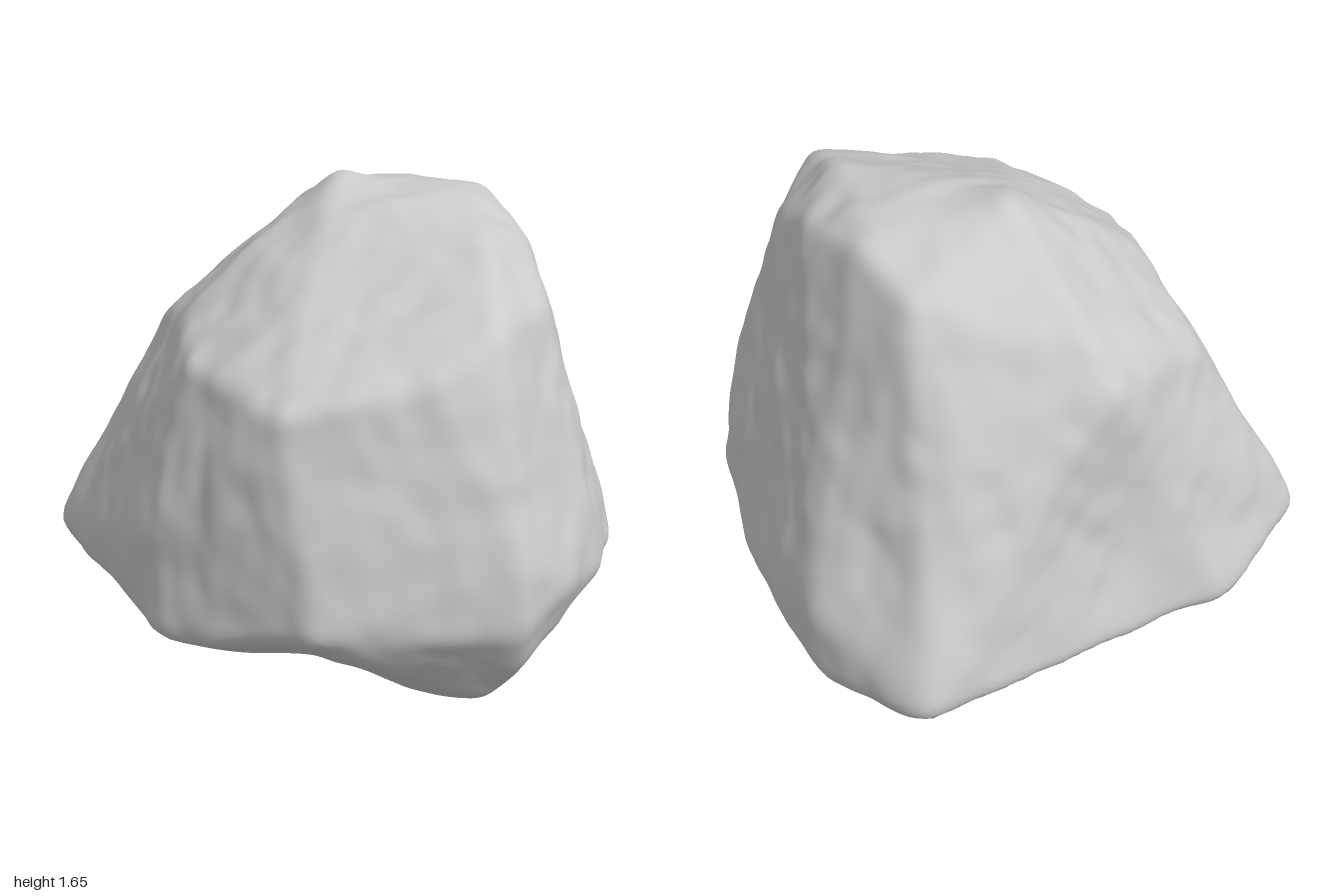
import * as THREE from 'three';
import { mergeVertices } from 'three/addons/utils/BufferGeometryUtils.js';
import { ConvexGeometry } from 'three/addons/geometries/ConvexGeometry.js';

// Main corners of the boulder
const CORNERS = [
  // crown
  [-0.04, 1.67, -0.25], [0.33, 1.6, 0.05], [0.48, 1.58, -0.1], [0.49, 1.51, -0.38],
  [0.46, 1.5, 0.2], [0.2, 1.56, 0.38], [0.36, 1.35, 0.53], [0.05, 1.37, 0.74], [-0.2, 1.25, 0.76],
  // left and front shoulders
  [-0.66, 1.14, 0.55], [-0.73, 1.15, 0.0], [-0.6, 1.23, -0.3], [-0.52, 1.06, -0.71],
  // back shoulders
  [0.02, 1.38, -0.73], [0.05, 1.5, -0.56], [0, 1.22, -0.86], [0.5, 1.1, -0.65],
  // front right bulge
  [0.42, 0.68, 0.73], [0.38, 1.12, 0.6],
  // widest belt
  [0.02, 0.66, 0.99], [0.02, 0.4, 1.0], [0.25, 0.5, 0.91], [0.48, 0.43, 0.73], [0.68, 0.4, 0.49],
  [0.81, 0.27, 0.2], [0.93, 0.46, -0.38], [0.93, 0.17, -0.42], [0.85, 0.25, -0.89], [-0.45, 0.17, -1.02],
  [-0.92, 0.24, -0.87], [-0.92, 0.6, 0.1], [-0.93, 0.24, 0.18], [-0.63, 0.4, 0.73],
  // underside
  [-0.1, -0.02, 0.52], [0, 0.05, 0.77], [0.04, 0.2, 0.89], [0.75, 0.1, -0.4], [-0.8, 0.17, -0.3],
];
const CENTRE = new THREE.Vector3(0, 0.72, 0);

// Shallow hollows: x, y, z, depth, radius
const HOLLOWS = [
  [0.42, 0.08, 0.25, 0.1, 0.3], [0.5, 0.1, -0.1, 0.06, 0.25], [-0.42, 0.08, 0.35, 0.08, 0.25],
  [0, 0.08, -0.1, 0.08, 0.35], [0.1, 0.13, -0.5, 0.03, 0.3],
  [0.76, 0.6, -0.66, 0.04, 0.25], [0.74, 1.0, -0.35, 0.04, 0.28],
  [0, 0.65, -0.92, 0.06, 0.4], [0.12, 1.62, -0.1, 0.03, 0.15],
];

// Face planes of the hull around the corners, seen from the centre
function hullPlanes() {
  const p = new ConvexGeometry(CORNERS.map((c) => new THREE.Vector3(...c).sub(CENTRE))).attributes.position;
  const planes = [];
  for (let i = 0; i < p.count; i += 3) {
    const [a, b, c] = [0, 1, 2].map((k) => new THREE.Vector3().fromBufferAttribute(p, i + k));
    planes.push(new THREE.Plane().setFromCoplanarPoints(a, b, c));
  }
  return planes;
}

// Smooth seeded value noise
function hash(x, y, z) {
  const s = Math.sin(x * 127.1 + y * 311.7 + z * 74.7) * 43758.5453;
  return s - Math.floor(s);
}
function noise(x, y, z) {
  const i = [x, y, z].map(Math.floor);
  const f = [x - i[0], y - i[1], z - i[2]].map((t) => t * t * (3 - 2 * t));
  let sum = 0;
  for (let k = 0; k < 8; k++) {
    const o = [k & 1, (k >> 1) & 1, k >> 2];
    const w = o.reduce((m, bit, n) => m * (bit ? f[n] : 1 - f[n]), 1);
    sum += w * hash(i[0] + o[0], i[1] + o[1], i[2] + o[2]);
  }
  return sum * 2 - 1;
}

export function createModel() {
  const planes = hullPlanes();
  const reach = (d) => {
    let r = 10;
    for (const pl of planes) {
      const k = pl.normal.dot(d);
      if (k > 1e-4) r = Math.min(r, -pl.constant / k);
    }
    return r;
  };
  const hollows = HOLLOWS.map(([x, y, z, depth, radius]) => (
    { at: new THREE.Vector3(x, y, z).sub(CENTRE), depth, radius }));

  let geo = new THREE.IcosahedronGeometry(1, 48);
  geo.deleteAttribute('normal');
  geo.deleteAttribute('uv');
  geo = mergeVertices(geo, 1e-5);
  const pos = geo.attributes.position;
  const d = new THREE.Vector3(), e = new THREE.Vector3(), u = new THREE.Vector3(), v = new THREE.Vector3();
  for (let i = 0; i < pos.count; i++) {
    d.fromBufferAttribute(pos, i).normalize();
    // average nearby directions to round the edges
    u.set(d.y, d.z, d.x).cross(d);
    if (u.lengthSq() < 1e-4) u.set(1, 0, 0).cross(d);
    u.normalize();
    v.crossVectors(d, u);
    let r = reach(d) * 2;
    for (let k = 0; k < 8; k++) {
      const a = (k * Math.PI) / 4;
      e.copy(d).addScaledVector(u, 0.04 * Math.cos(a)).addScaledVector(v, 0.04 * Math.sin(a)).normalize();
      r += reach(e);
    }
    r /= 10;
    e.copy(d).multiplyScalar(r);
    for (const h of hollows) r -= h.depth * Math.exp(-e.distanceToSquared(h.at) / h.radius ** 2);
    // weathered bumps, slightly stretched upright
    r += 0.012 * noise(e.x * 5 + 9, e.y * 4 + 4, e.z * 5 + 7)
       + 0.008 * noise(e.x * 11 + 3, e.y * 9 + 5, e.z * 11 + 1);
    pos.setXYZ(i, d.x * r, d.y * r, d.z * r);
  }

  // centre it and stand it on the ground
  geo.computeBoundingBox();
  const { min, max } = geo.boundingBox;
  geo.translate(-(min.x + max.x) / 2, -min.y, -(min.z + max.z) / 2);
  geo.computeVertexNormals();

  const boulder = new THREE.Mesh(geo, new THREE.MeshStandardMaterial({ color: 0xcccccc }));
  boulder.name = 'boulder';
  const group = new THREE.Group();
  group.name = 'rock';
  group.add(boulder);
  return group;
}
